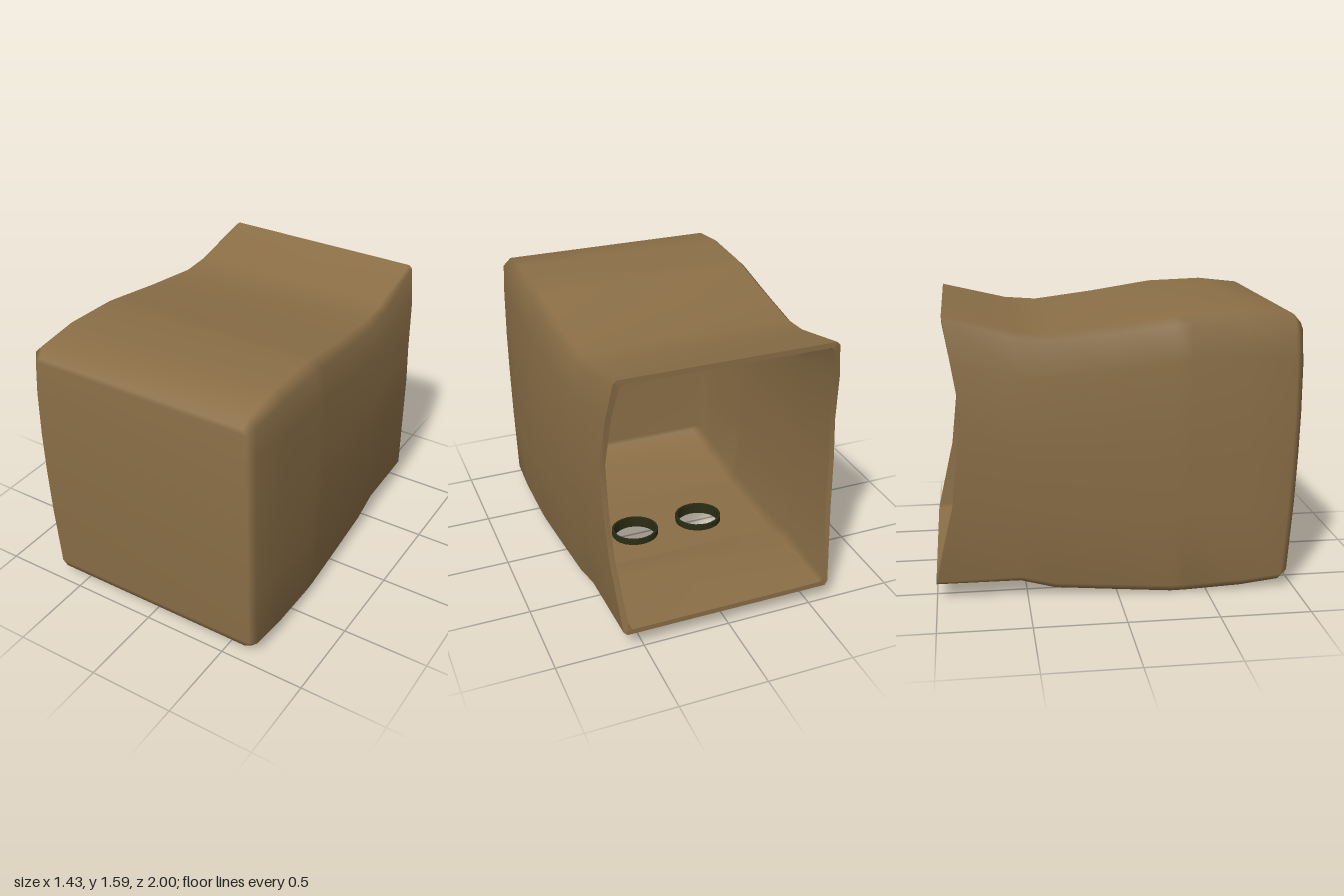
import * as THREE from 'three';

// Stations from front to back: [z, bottom y, top y, half width at edges, half width at bulge, corner cut]
const STATIONS = [
  [1.0, 0.075, 1.51, 0.65, 0.66, 0.03],
  [0.96, 0.045, 1.56, 0.68, 0.69, 0.045],
  [0.7, 0.02, 1.588, 0.685, 0.707, 0.05],
  [0.38, 0.004, 1.578, 0.68, 0.717, 0.05],
  [0.3, 0.002, 1.567, 0.677, 0.716, 0.05],
  [0.0, 0.0242, 1.522, 0.663, 0.705, 0.045],
  [-0.35, 0.05, 1.48, 0.645, 0.692, 0.04],
  [-0.54, 0.1, 1.495, 0.635, 0.686, 0.035],
  [-1.0, 0.1, 1.585, 0.615, 0.67, 0.02],
];
const SIDE = [[0.3, 0.7], [0.5, 0.95], [0.66, 1], [0.85, 0.6]]; // height fraction, bulge amount
const REAR = [[0.1, -1], [0.545, -0.9], [1.08, -0.84], [1.585, -0.92]]; // rear edge outline: y, z
const FIRST = 4, LAST = 6; // stations bounding the flat floor panel
const WALL = 0.03, HOLE_X = 0.21, HOLE_Z = -0.07, HOLE_R = 0.138;
const floorY = (z) => 0.002 + (0.3 - z) * 0.0738;

function rearZ(y) {
  let i = 0;
  while (i < REAR.length - 2 && y > REAR[i + 1][0]) i++;
  const [a, b] = [REAR[i], REAR[i + 1]];
  return a[1] + (b[1] - a[1]) * Math.min(1, Math.max(0, (y - a[0]) / (b[0] - a[0])));
}

// One closed cross-section, counter-clockwise seen from the front
function section(i, inset) {
  const [z, yb, yt, w, wm, c] = STATIONS[i];
  const half = [[w - c, yb], [w, yb + c],
    ...SIDE.map(([f, b]) => [w + (wm - w) * b, yb + (yt - yb) * f]),
    [w, yt - c], [w - c, yt]];
  const right = half.map(([x, y], k) => {
    let pz = z;
    if (z > 0.9) pz = z - (y < 1.2 ? 0.034 : 0.15) * (y - 1.2) ** 2 - inset;
    if (i === STATIONS.length - 1) pz = rearZ(y);
    const py = y + (k < 2 ? inset : k > 5 ? -inset : 0);
    return [x - inset, py, pz];
  });
  return [...right, ...right.slice().reverse().map(([x, y, pz]) => [-x, y, pz])];
}

// Skin with a closed front; the floor panel gap is cut after the normals are made
function skin(inset) {
  const rings = STATIONS.map((_, i) => section(i, inset));
  const n = rings[0].length, keep = [], cut = [];
  for (let i = 0; i < rings.length - 1; i++) {
    for (let j = 0; j < n; j++) {
      const a = i * n + j, b = i * n + (j + 1) % n, c = a + n, d = b + n;
      (j === n - 1 && i >= FIRST && i < LAST ? cut : keep).push(a, c, b, b, c, d);
    }
  }
  for (let j = 0; j < n / 2 - 1; j++) keep.push(j, j + 1, n - 2 - j, j, n - 2 - j, n - 1 - j);
  if (inset) [keep, cut].forEach((list) => list.reverse());
  const g = new THREE.BufferGeometry();
  g.setAttribute('position', new THREE.Float32BufferAttribute(rings.flat(2), 3));
  g.setIndex([...keep, ...cut]);
  g.computeVertexNormals();
  g.setIndex(keep);
  return g;
}

// Sloping floor panel with two round holes
function floorPanel(inset) {
  const s = inset ? -1 : 1;
  const edge = STATIONS.slice(FIRST, LAST + 1).map(([z, , , w, , c]) => [w - c - inset, z]);
  const outline = [...edge, ...edge.slice().reverse().map(([x, z]) => [-x, z])];
  const shape = new THREE.Shape(outline.map(([x, z]) => new THREE.Vector2(x, s * z)));
  for (const x of [-HOLE_X, HOLE_X]) {
    shape.holes.push(new THREE.Path().absarc(x, s * HOLE_Z, HOLE_R, 0, Math.PI * 2, true));
  }
  const g = new THREE.ShapeGeometry(shape, 12);
  const p = g.attributes.position;
  for (let i = 0; i < p.count; i++) {
    const z = s * p.getY(i);
    p.setXYZ(i, p.getX(i), floorY(z) + inset, z);
  }
  g.computeVertexNormals();
  return g;
}

// Flat strip joining the outer and inner skins around the opening
function openingEdge() {
  const last = STATIONS.length - 1;
  const outer = section(last, 0), inner = section(last, WALL), n = outer.length, index = [];
  for (let j = 0; j < n; j++) {
    const k = (j + 1) % n;
    index.push(j, n + j, k, k, n + j, n + k);
  }
  const g = new THREE.BufferGeometry();
  g.setAttribute('position', new THREE.Float32BufferAttribute([...outer, ...inner].flat(), 3));
  g.setIndex(index);
  g.computeVertexNormals();
  return g;
}

export function createModel() {
  const model = new THREE.Group();
  model.name = 'hollowHousing';
  const brown = new THREE.MeshStandardMaterial({ color: 0x8b6f47 });
  brown.name = 'warm brown';
  const dark = new THREE.MeshStandardMaterial({ color: 0x2a2c14, side: THREE.DoubleSide });
  dark.name = 'dark olive';
  const add = (name, geometry, material) => {
    const mesh = new THREE.Mesh(geometry, material);
    mesh.name = name;
    model.add(mesh);
    return mesh;
  };

  add('outerShell', skin(0), brown);
  add('innerShell', skin(WALL), brown);
  add('outerFloor', floorPanel(0), brown);
  add('innerFloor', floorPanel(WALL), brown);
  add('openingEdge', openingEdge(), brown);

  // Short collars lining the floor holes
  const profile = [[0.128, 0], [0.142, 0], [0.142, 0.065], [0.128, 0.065], [0.128, 0]];
  const collar = new THREE.LatheGeometry(profile.map(([x, y]) => new THREE.Vector2(x, y)), 24)
    .toNonIndexed();
  collar.computeVertexNormals();
  for (const side of [-1, 1]) {
    const ring = add(side > 0 ? 'leftHoleCollar' : 'rightHoleCollar', collar, dark);
    ring.position.set(side * HOLE_X, floorY(HOLE_Z) + 0.001, HOLE_Z);
    ring.rotation.x = 0.0738;
  }
  return model;
}
